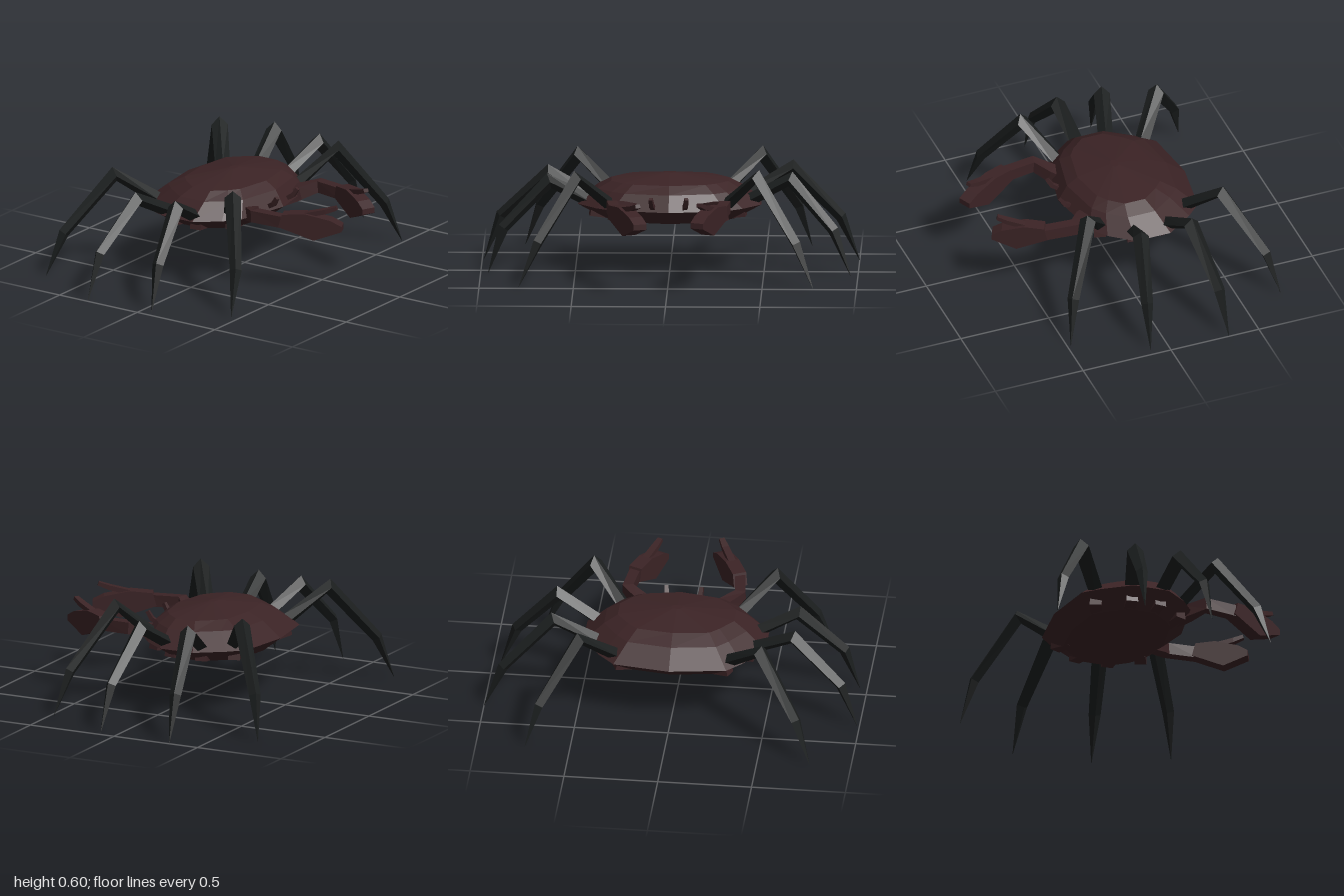
import * as THREE from 'three';

const V = (x, y, z) => new THREE.Vector3(x, y, z);

// Skins a list of equal-length loops (counter-clockwise about the direction of travel) and caps both ends.
function skin(rings) {
  const pos = [];
  const tri = (...ps) => ps.forEach(p => pos.push(p.x, p.y, p.z));
  const centre = r => r.reduce((s, p) => s.add(p), V(0, 0, 0)).divideScalar(r.length);
  const n = rings[0].length, last = rings[rings.length - 1];
  const c0 = centre(rings[0]), c1 = centre(last);
  for (let j = 0; j < n; j++) {
    const k = (j + 1) % n;
    for (let i = 0; i + 1 < rings.length; i++) {
      const a = rings[i], b = rings[i + 1];
      tri(a[j], a[k], b[k]);
      tri(a[j], b[k], b[j]);
    }
    tri(c0, rings[0][k], rings[0][j]);
    tri(c1, last[j], last[k]);
  }
  const g = new THREE.BufferGeometry();
  g.setAttribute('position', new THREE.Float32BufferAttribute(pos, 3));
  g.computeVertexNormals();
  return g;
}

// Four-sided limb along a path; sizes are [half width, half height], twist turns a diamond into a box.
function limb(path, sizes, twist = 0) {
  return skin(path.map((p, i) => {
    const t = path[Math.min(i + 1, path.length - 1)].clone().sub(path[Math.max(i - 1, 0)]).normalize();
    const side = V(0, 1, 0).cross(t).normalize();
    const up = t.clone().cross(side);
    return [0, 1, 2, 3].map(j => {
      const a = twist + j * Math.PI / 2;
      return p.clone().addScaledVector(side, Math.cos(a) * sizes[i][0])
        .addScaledVector(up, Math.sin(a) * sizes[i][1]);
    });
  }));
}

export function createModel() {
  const model = new THREE.Group();
  model.name = 'crab';
  const material = (name, color) => {
    const m = new THREE.MeshStandardMaterial({ color, flatShading: true });
    m.name = name;
    return m;
  };
  const brown = material('shell brown', 0x3b2325);
  const black = material('leg black', 0x1b1e1e);
  const add = (name, geometry, mat, parent = model) => {
    const m = new THREE.Mesh(geometry, mat);
    m.name = name;
    parent.add(m);
    return m;
  };
  const BOX = Math.PI / 4;

  // Shell: one faceted outline scaled at several heights
  const half = [[1, 0], [0.83, 0.62], [0.64, 0.8], [0.3, 1], [-0.25, 1], [-0.66, 0.78], [-0.88, 0.62], [-1, 0]];
  const outline = [...half.map(([u, v]) => [u, -v]), ...half.slice(1, 7).reverse()];
  // y, back x, front x, half width in z
  const levels = [
    [0.262, -0.16, 0.0, 0.1], [0.282, -0.37, 0.15, 0.35], [0.36, -0.47, 0.25, 0.485],
    [0.445, -0.365, 0.2, 0.38], [0.485, -0.28, 0.14, 0.31], [0.52, -0.09, -0.05, 0.03],
  ];
  add('shell', skin(levels.map(([y, x0, x1, z]) =>
    outline.map(([u, v]) => V((x0 + x1) / 2 + u * (x1 - x0) / 2, y, v * z)))), brown);

  // Legs: base, knee, ankle and tip
  const legs = [
    ['frontLeftLeg', [0.13, 0.38, 0.31], [0.262, 0.55, 0.49], [0.42, 0.23, 0.69], [0.46, 0, 0.79]],
    ['frontRightLeg', [0.13, 0.38, -0.3], [0.265, 0.56, -0.47], [0.43, 0.23, -0.68], [0.48, 0, -0.77]],
    ['frontMiddleLeftLeg', [-0.025, 0.37, 0.42], [0.0, 0.485, 0.64], [0.05, 0.24, 0.88], [0.065, 0, 0.96]],
    ['frontMiddleRightLeg', [-0.02, 0.37, -0.4], [0.03, 0.505, -0.64], [0.085, 0.24, -0.87], [0.1, 0, -0.96]],
    ['backMiddleLeftLeg', [-0.185, 0.37, 0.42], [-0.25, 0.485, 0.64], [-0.31, 0.24, 0.9], [-0.325, 0, 0.99]],
    ['backMiddleRightLeg', [-0.205, 0.37, -0.4], [-0.255, 0.515, -0.64], [-0.315, 0.24, -0.9], [-0.33, 0, -1]],
    ['backLeftLeg', [-0.35, 0.38, 0.31], [-0.5, 0.535, 0.49], [-0.68, 0.23, 0.7], [-0.74, 0, 0.78]],
    ['backRightLeg', [-0.35, 0.38, -0.3], [-0.49, 0.545, -0.475], [-0.67, 0.23, -0.67], [-0.725, 0, -0.74]],
  ];
  const legSizes = [[0.04, 0.035], [0.043, 0.042], [0.032, 0.03], [0.001, 0.001]];
  for (const [name, ...points] of legs) {
    add(name, limb(points.map(p => V(...p)), legSizes), black);
    // Hip under the edge of the shell
    const [x, , z] = points[0], s = Math.sign(z);
    add(name + 'Hip', limb([V(x * 0.8 - 0.02, 0.3, z - s * 0.12), V(x, 0.325, z)],
      [[0.04, 0.03], [0.045, 0.04]], BOX), brown);
  }

  // Claw arms, pincers and eye stalks
  const pincer = new THREE.Shape([[0, 0.37], [0.19, 0.305], [0.34, 0.36], [0.34, 0.39], [0.28, 0.42], [0.14, 0.45], [0.02, 0.44]]
    .map(p => new THREE.Vector2(...p)));
  for (const [side, s, length] of [['left', 1, 1], ['right', -1, 0.87]]) {
    add(side + 'Arm', limb([V(0.1, 0.34, s * 0.14), V(0.2, 0.375, s * 0.22), V(0.275, 0.4, s * 0.3), V(0.44, 0.395, s * 0.28)],
      [[0.05, 0.05], [0.05, 0.05], [0.042, 0.045], [0.04, 0.045]], BOX), brown);

    const claw = new THREE.Group();
    claw.name = side + 'Claw';
    claw.position.set(0.42, 0, s * 0.285);
    claw.rotation.y = s * 0.44;
    claw.scale.x = length;
    model.add(claw);
    const palm = new THREE.ExtrudeGeometry(pincer, { depth: 0.075, bevelEnabled: false });
    palm.translate(0, 0, -0.0375);
    add(side + 'Pincer', palm, brown, claw);
    add(side + 'Finger', limb([V(0.13, 0.435, 0), V(0.25, 0.462, 0), V(0.31, 0.483, 0)],
      [[0.028, 0.018], [0.026, 0.018], [0.02, 0.014]], BOX), brown, claw);

    add(side + 'EyeStalk', limb([V(0.2, 0.37, s * 0.08), V(0.25, 0.4, s * 0.09), V(0.275, 0.44, s * 0.095)],
      [[0.016, 0.016], [0.017, 0.017], [0.014, 0.014]], BOX), brown);
  }
  return model;
}
